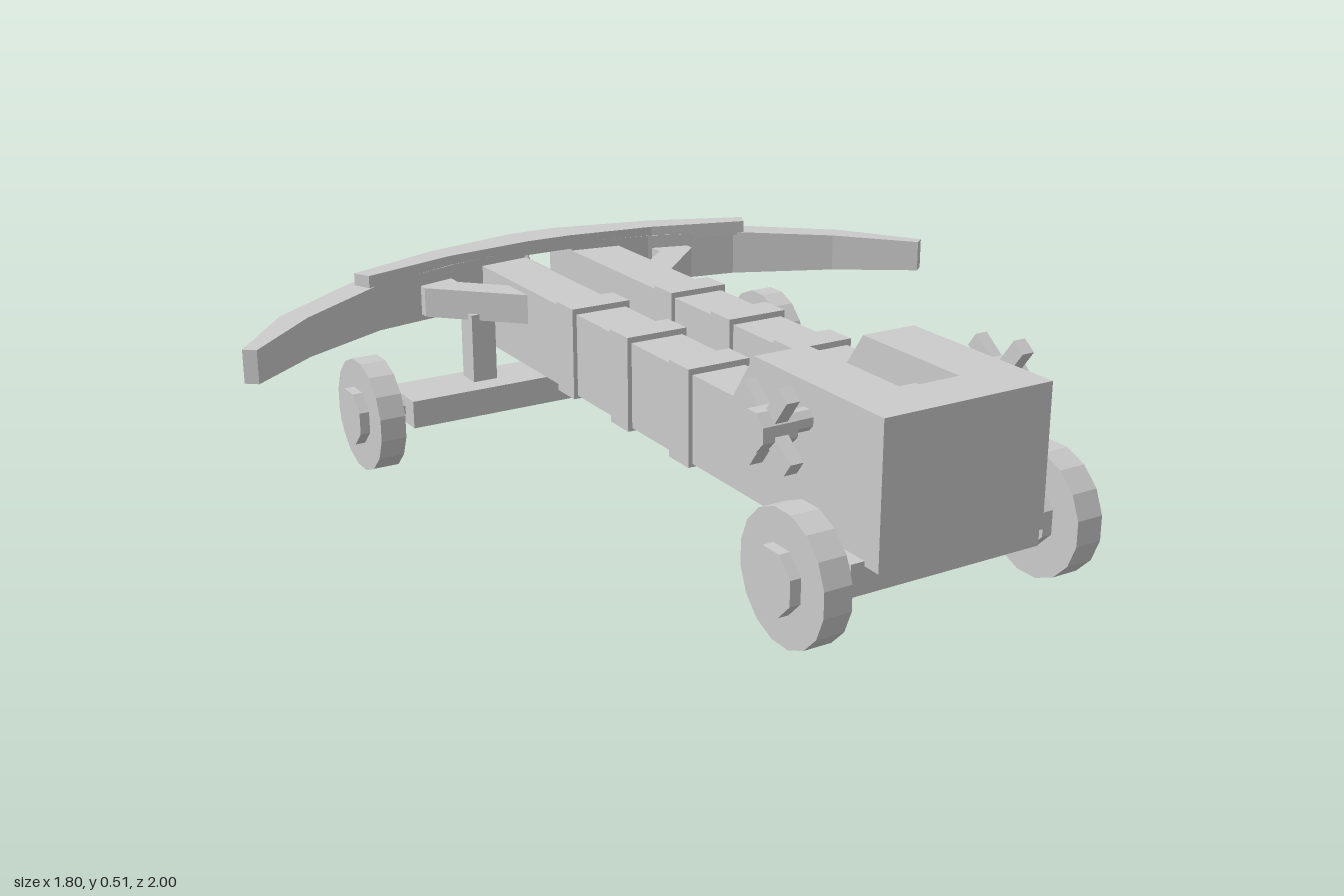
import * as THREE from 'three';

const material = new THREE.MeshStandardMaterial({ color: 0xcccccc, flatShading: true });

function add(parent, name, geometry, x = 0, y = 0, z = 0) {
  const mesh = new THREE.Mesh(geometry, material);
  mesh.name = name;
  mesh.position.set(x, y, z);
  parent.add(mesh);
  return mesh;
}

// Box given by its limits on each axis
function box(parent, name, [x0, x1], [y0, y1], [z0, z1]) {
  return add(parent, name, new THREE.BoxGeometry(x1 - x0, y1 - y0, z1 - z0),
    (x0 + x1) / 2, (y0 + y1) / 2, (z0 + z1) / 2);
}

// Cylinder lying along x between two limits
function rod(parent, name, r, sides, x0, x1, y, z) {
  const g = new THREE.CylinderGeometry(r, r, x1 - x0, sides);
  g.rotateY(Math.PI / sides).rotateZ(Math.PI / 2);
  return add(parent, name, g, (x0 + x1) / 2, y, z);
}

function extrude(points, depth) {
  const shape = new THREE.Shape(points.map(([a, b]) => new THREE.Vector2(a, b)));
  return new THREE.ExtrudeGeometry(shape, { depth, bevelEnabled: false });
}

// Outline of [z, y] points pushed along +x
const sideways = (points, depth) =>
  extrude(points.map(([z, y]) => [-z, y]), depth).rotateY(Math.PI / 2);

// Outline of [x, z] points pushed along +y
const upward = (points, depth) =>
  extrude(points.map(([x, z]) => [x, -z]), depth).rotateX(-Math.PI / 2);

// Mirror across x = 0, keeping faces outward
function mirrored(geometry) {
  const g = geometry.index ? geometry.toNonIndexed() : geometry.clone();
  g.scale(-1, 1, 1);
  const p = g.attributes.position;
  const a = new THREE.Vector3(), b = new THREE.Vector3();
  for (let i = 0; i < p.count; i += 3) {
    a.fromBufferAttribute(p, i + 1);
    b.fromBufferAttribute(p, i + 2);
    p.setXYZ(i + 1, b.x, b.y, b.z);
    p.setXYZ(i + 2, a.x, a.y, a.z);
  }
  g.computeVertexNormals();
  return g;
}

function addPair(parent, name, geometry) {
  add(parent, name + 'Left', geometry);
  add(parent, name + 'Right', mirrored(geometry));
}

// Tapered bow limb: stations of [outer x, outer z, inner x, inner z, bottom, top]
function limbGeometry() {
  const stations = [
    [0.065, -0.75, 0.065, -0.63, 0.295, 0.42],
    [0.31, -0.695, 0.27, -0.6, 0.297, 0.418],
    [0.54, -0.59, 0.49, -0.54, 0.303, 0.412],
    [0.76, -0.445, 0.71, -0.405, 0.312, 0.403],
    [0.9, -0.28, 0.875, -0.26, 0.32, 0.395],
  ];
  const position = [], index = [];
  for (const [xo, zo, xi, zi, b, t] of stations)
    position.push(xo, b, zo, xo, t, zo, xi, t, zi, xi, b, zi);
  for (let s = 0; s < stations.length - 1; s++)
    for (let k = 0; k < 4; k++) {
      const a = s * 4 + k, b = s * 4 + (k + 1) % 4;
      index.push(a, b, b + 4, a, b + 4, a + 4);
    }
  const e = (stations.length - 1) * 4;
  index.push(0, 3, 2, 0, 2, 1, e, e + 1, e + 2, e, e + 2, e + 3);
  const g = new THREE.BufferGeometry();
  g.setAttribute('position', new THREE.Float32BufferAttribute(position, 3));
  g.setIndex(index);
  const flat = g.toNonIndexed();
  flat.computeVertexNormals();
  return flat;
}

export function createModel() {
  const model = new THREE.Group();
  model.name = 'wheeledCrossbow';

  // Stock: two side rails with a raised rear, a groove floor and a rear block
  const stock = new THREE.Group();
  stock.name = 'stock';
  model.add(stock);
  const rail = sideways([[-0.71, 0.21], [0.98, 0.21], [0.98, 0.5], [0.58, 0.5],
    [0.51, 0.4], [-0.71, 0.4]], 0.125).translate(0.065, 0, 0);
  addPair(stock, 'rail', rail);
  box(stock, 'grooveFloor', [-0.065, 0.065], [0.21, 0.32], [-0.71, 0.87]);
  box(stock, 'rearBlock', [-0.065, 0.065], [0.21, 0.5], [0.87, 0.98]);
  box(stock, 'stringCatch', [-0.065, 0.065], [0.32, 0.39], [0.51, 0.61]);

  // Bands around each rail
  for (const z of [-0.165, 0.08, 0.325])
    for (const s of [-1, 1])
      add(stock, 'band', new THREE.BoxGeometry(0.145, 0.21, 0.075), s * 0.1275, 0.308, z);

  // Bow limbs and the plate on top that joins them
  const bow = new THREE.Group();
  bow.name = 'bow';
  model.add(bow);
  addPair(bow, 'limb', limbGeometry());
  const front = [[0.06, -0.72], [0.3, -0.665], [0.535, -0.57]];
  const back = [[0.515, -0.53], [0.28, -0.6], [0.06, -0.63]];
  const half = [...front, ...back];
  const plate = [...half, ...half.map(([x, z]) => [-x, z]).reverse()];
  add(bow, 'topPlate', upward(plate, 0.035), 0, 0.405, 0);

  // Diagonal braces and the posts carrying the front axle
  const brace = upward([[0.18, -0.36], [0.37, -0.55], [0.37, -0.6], [0.28, -0.6],
    [0.28, -0.56], [0.18, -0.46]], 0.07).translate(0, 0.315, 0);
  addPair(model, 'brace', brace);
  for (const s of [-1, 1])
    add(model, 'axlePost', new THREE.BoxGeometry(0.06, 0.19, 0.06), s * 0.265, 0.235, -0.485);

  // Axle beams
  box(model, 'frontAxleBeam', [-0.475, 0.475], [0.1, 0.165], [-0.54, -0.4]);
  box(model, 'rearAxleBeam', [-0.22, 0.22], [0.155, 0.22], [0.79, 0.94]);

  // Wheels with eight-sided hubs
  for (const [end, x, y, z] of [['front', 0.55, 0.132, -0.47], ['rear', 0.29, 0.19, 0.87]])
    for (const s of [-1, 1]) {
      const wheel = new THREE.Group();
      wheel.name = end + (s > 0 ? 'LeftWheel' : 'RightWheel');
      wheel.position.set(s * x, y, z);
      model.add(wheel);
      rod(wheel, 'rim', 0.132, 16, -0.03, 0.03, 0, 0);
      rod(wheel, 'hub', 0.066, 8, -0.053, 0.053, 0, 0);
      rod(wheel, 'stub', 0.024, 8, -0.09, 0.04, 0, 0).position.x = -s * 0.025;
    }

  // Winch: drum in the pocket and a four-spoke handle on each side
  const winch = new THREE.Group();
  winch.name = 'winch';
  winch.position.set(0, 0.43, 0.755);
  model.add(winch);
  rod(winch, 'shaft', 0.022, 8, -0.29, 0.29, 0, 0);
  for (const s of [-1, 1]) {
    const handle = new THREE.Group();
    handle.name = s > 0 ? 'leftHandle' : 'rightHandle';
    handle.position.x = s * 0.27;
    winch.add(handle);
    rod(handle, 'handleHub', 0.04, 8, -0.04, 0.035, 0, 0);
    for (let i = 0; i < 4; i++) {
      const spoke = add(handle, 'spoke',
        new THREE.BoxGeometry(0.028, 0.095, 0.034).translate(0, 0.0475, 0));
      spoke.rotation.x = Math.PI / 4 - 0.14 + i * Math.PI / 2;
    }
  }

  // Bolt lying in the groove, with a pointed head
  const profile = [[0, -0.51], [0.02, -0.51], [0.02, 0.77], [0.046, 0.83], [0, 1]]
    .map(([r, h]) => new THREE.Vector2(r, h));
  add(model, 'bolt', new THREE.LatheGeometry(profile, 8).rotateX(-Math.PI / 2), 0, 0.34, 0);

  return model;
}
